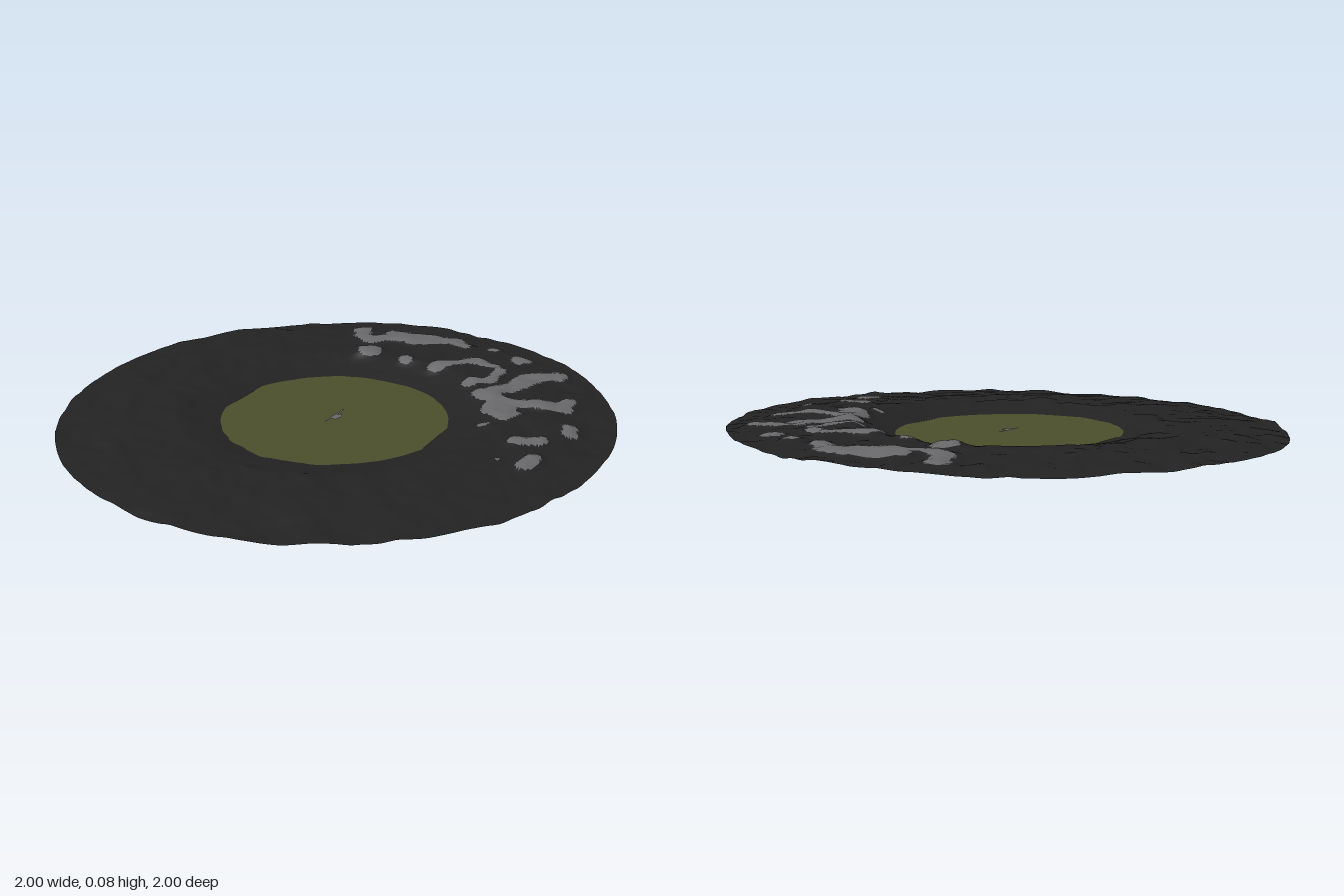
import * as THREE from 'three';

const INNER = 0.37;          // radius of the pond floor
const WATER_Y = 0.011;

// Seeded value noise on a grid, range -1..1
function hash(i, j) {
  let h = (Math.imul(i, 374761393) + Math.imul(j, 668265263)) | 0;
  h = Math.imul(h ^ (h >>> 13), 1274126177);
  return (((h ^ (h >>> 16)) >>> 0) / 4294967295) * 2 - 1;
}
function noise(x, z) {
  const i = Math.floor(x), j = Math.floor(z);
  const u = THREE.MathUtils.smoothstep(x - i, 0, 1);
  const v = THREE.MathUtils.smoothstep(z - j, 0, 1);
  const a = THREE.MathUtils.lerp(hash(i, j), hash(i + 1, j), u);
  const b = THREE.MathUtils.lerp(hash(i, j + 1), hash(i + 1, j + 1), u);
  return THREE.MathUtils.lerp(a, b, v);
}

// Bare rock ridges: a radius and a path of [x, z] points
const ridges = [
  [0.04, [[-0.31, -0.81], [-0.28, -0.74], [-0.22, -0.7], [-0.14, -0.78]]],
  [0.07, [[-0.13, -0.79], [0, -0.82]]],
  [0.05, [[0, -0.82], [0.08, -0.85]]],
  [0.03, [[0.08, -0.84], [0.16, -0.81]]],
  [0.025, [[0.28, -0.81]]],
  [0.037, [[0.42, -0.765]]],
  [0.045, [[-0.17, -0.59], [-0.15, -0.57]]],
  [0.03, [[0.01, -0.55]]],
  [0.03, [[0.15, -0.53], [0.2, -0.59], [0.28, -0.65], [0.35, -0.64]]],
  [0.026, [[0.4, -0.6], [0.4, -0.48], [0.34, -0.44]]],
  [0.045, [[0.6, -0.65], [0.53, -0.58], [0.51, -0.48], [0.43, -0.36]]],
  [0.04, [[0.44, -0.34], [0.55, -0.31], [0.72, -0.36]]],
  [0.03, [[0.72, -0.36], [0.74, -0.43]]],
  [0.055, [[0.52, -0.27], [0.57, -0.2]]],
  [0.022, [[0.54, -0.1]]],
  [0.026, [[0.82, -0.2], [0.83, -0.16]]],
  [0.024, [[0.69, 0], [0.77, -0.04]]],
  [0.027, [[0.79, 0.1], [0.78, 0.15]]],
  [0.017, [[0.69, 0.15]]],
];

// Signed distance to the nearest ridge outline, negative inside
function ridgeDistance(x, z) {
  let best = 1;
  for (const [radius, path] of ridges) {
    for (let k = 0; k < Math.max(1, path.length - 1); k++) {
      const [ax, az] = path[k];
      const [bx, bz] = path[k + 1] || path[k];
      const dx = bx - ax, dz = bz - az;
      const t = THREE.MathUtils.clamp(((x - ax) * dx + (z - az) * dz) / (dx * dx + dz * dz || 1), 0, 1);
      best = Math.min(best, Math.hypot(x - ax - dx * t, z - az - dz * t) - radius);
    }
  }
  return best + 0.012 * noise(x * 22, z * 22);
}

// Ground height: bowl rim, gentle tilt, rough bumps and raised ridges
function groundHeight(x, z) {
  const r = Math.hypot(x, z);
  const rise = THREE.MathUtils.clamp((r - INNER) / 0.2, 0, 1);
  const middle = 0.013 * THREE.MathUtils.smoothstep(1 - r, 0, 0.3);
  const bumps = 0.007 * noise(x * 9 + 3, z * 9) + 0.004 * noise(x * 21, z * 21 + 7);
  const ridge = 0.013 * THREE.MathUtils.smoothstep(-ridgeDistance(x, z), -0.03, 0.03);
  return rise * (0.037 + 0.009 * x - 0.014 * z + middle + bumps + ridge);
}

// Ring-shaped ground sheet, split into soil and rock material groups
function groundGeometry() {
  const rings = 70, sectors = 360;
  const positions = [], soil = [], rock = [];
  for (let i = 0; i <= rings; i++) {
    const r = INNER + (1 - INNER) * i / rings;
    for (let j = 0; j < sectors; j++) {
      const a = j / sectors * Math.PI * 2;
      const x = r * Math.cos(a), z = r * Math.sin(a);
      positions.push(x, groundHeight(x, z), z);
    }
  }
  const addFace = (a, b, c) => {
    const mid = (k) => (positions[a * 3 + k] + positions[b * 3 + k] + positions[c * 3 + k]) / 3;
    (ridgeDistance(mid(0), mid(2)) < 0 ? rock : soil).push(a, b, c);
  };
  for (let i = 0; i < rings; i++) {
    for (let j = 0; j < sectors; j++) {
      const n = (j + 1) % sectors;
      const a = i * sectors + j, b = i * sectors + n;
      const c = a + sectors, d = b + sectors;
      addFace(a, b, d);
      addFace(a, d, c);
    }
  }
  const geometry = new THREE.BufferGeometry();
  geometry.setAttribute('position', new THREE.Float32BufferAttribute(positions, 3));
  geometry.setIndex([...soil, ...rock]);
  geometry.addGroup(0, soil.length, 0);
  geometry.addGroup(soil.length, rock.length, 1);
  geometry.computeVertexNormals();
  return geometry;
}

export function createModel() {
  const group = new THREE.Group();
  const material = (name, color) => {
    const m = new THREE.MeshStandardMaterial({ color, side: THREE.DoubleSide });
    m.name = name;
    return m;
  };
  const soil = material('dark soil', 0x222222);
  const rock = material('grey rock', 0x67676a);
  const water = material('murky water', 0x4b4e2a);
  const add = (name, geometry, mat, x = 0, y = 0, z = 0) => {
    const mesh = new THREE.Mesh(geometry, mat);
    mesh.name = name;
    mesh.position.set(x, y, z);
    group.add(mesh);
  };

  add('ground', groundGeometry(), [soil, rock]);

  // Pond: floor at the bottom of the bowl, water sheet running under the banks
  add('pondFloor', new THREE.CircleGeometry(INNER, 96).rotateX(-Math.PI / 2), water);
  add('waterSurface', new THREE.PlaneGeometry(0.8, 1.005).rotateX(-Math.PI / 2), water, 0, WATER_Y, 0.042);

  // Small stone sliver breaking the water at the centre
  const sliver = new THREE.Shape([
    [-0.008, -0.07], [0, -0.06], [0, 0.07], [-0.008, 0.06],
  ].map(([x, y]) => new THREE.Vector2(x, y)));
  const chip = new THREE.Shape([
    [0, -0.03], [0.018, -0.035], [0.025, 0], [0.012, 0.025], [0, 0.01],
  ].map(([x, y]) => new THREE.Vector2(x, y)));
  add('centreStone', new THREE.ShapeGeometry([sliver, chip]).rotateX(-Math.PI / 2), rock, 0, WATER_Y + 0.004, 0);

  return group;
}
